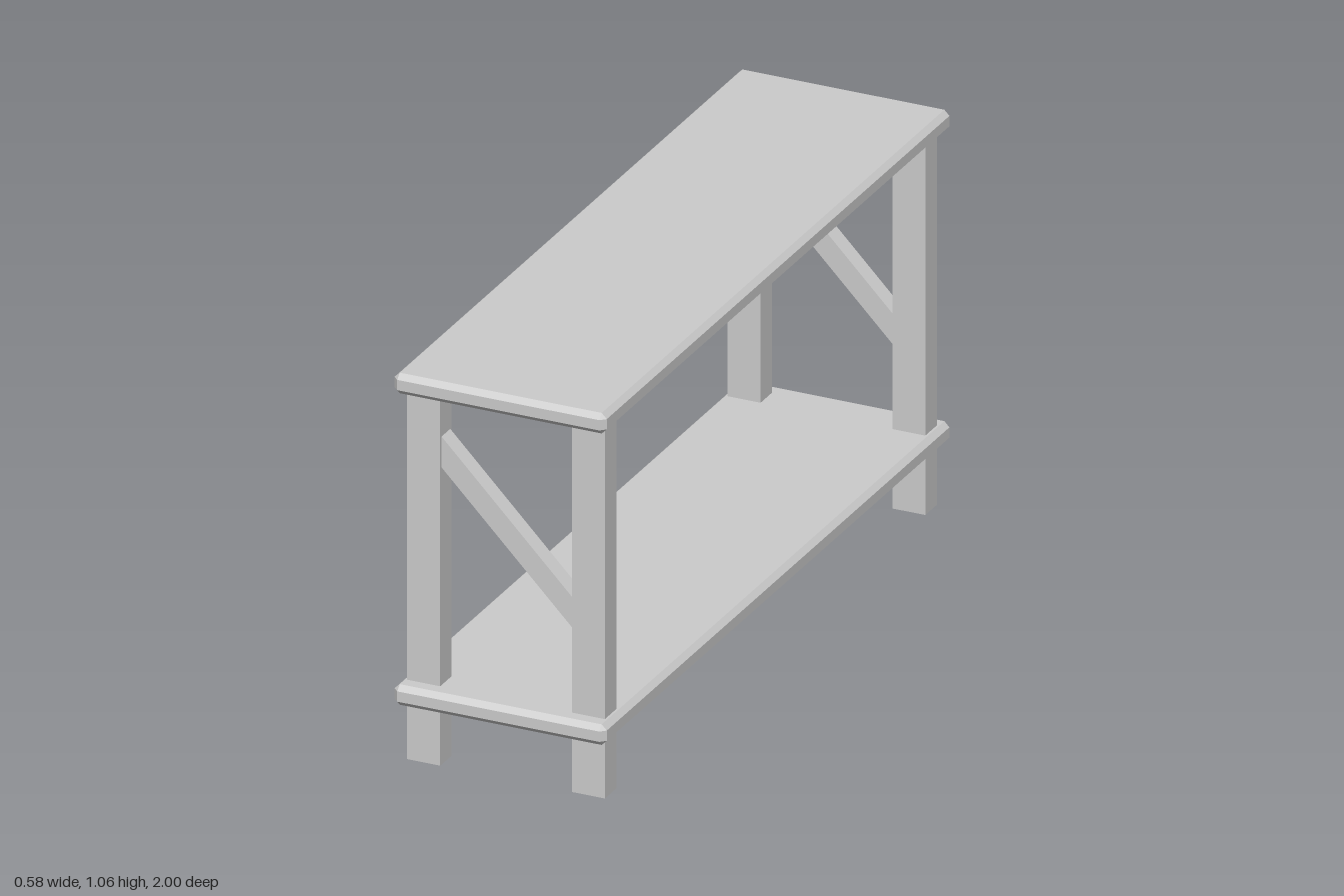
import * as THREE from 'three';
import { ConvexGeometry } from 'three/addons/geometries/ConvexGeometry.js';

const material = new THREE.MeshStandardMaterial({ color: 0xcccccc, flatShading: true });

// Box with every edge and corner cut flat by c
function chamferedBox(w, h, d, c) {
  const points = [];
  for (const x of [-1, 1]) for (const y of [-1, 1]) for (const z of [-1, 1]) {
    for (let full = 0; full < 3; full++) {
      const half = [w / 2, h / 2, d / 2].map((s, i) => (i === full ? s : s - c));
      points.push(new THREE.Vector3(x * half[0], y * half[1], z * half[2]));
    }
  }
  return new ConvexGeometry(points);
}

export function createModel() {
  const group = new THREE.Group();
  const add = (name, geometry, x, y, z) => {
    const mesh = new THREE.Mesh(geometry, material);
    mesh.name = name;
    mesh.position.set(x, y, z);
    group.add(mesh);
  };

  // Top and lower shelf boards
  const board = chamferedBox(0.58, 0.056, 2, 0.014);
  add('topBoard', board, 0, 1.035, 0);
  add('lowerShelf', board, 0, 0.188, 0);

  // Diagonal brace, cut vertically where it meets the legs
  const braceShape = new THREE.Shape([
    new THREE.Vector2(-0.18, 0.808),
    new THREE.Vector2(0.18, 0.44),
    new THREE.Vector2(0.18, 0.523),
    new THREE.Vector2(-0.18, 0.892),
  ]);
  const thickness = 0.05;
  const brace = new THREE.ExtrudeGeometry(braceShape, { depth: thickness, bevelEnabled: false });
  brace.translate(0, 0, -thickness / 2);

  // Two legs and one brace at each end
  const legHeight = 1.01;
  const leg = new THREE.BoxGeometry(0.09, legHeight, 0.066);
  for (const [end, z] of [['front', 0.922], ['back', -0.922]]) {
    add(end + 'LeftLeg', leg, 0.225, legHeight / 2, z);
    add(end + 'RightLeg', leg, -0.225, legHeight / 2, z);
    add(end + 'Brace', brace, 0, 0, z);
  }
  return group;
}
